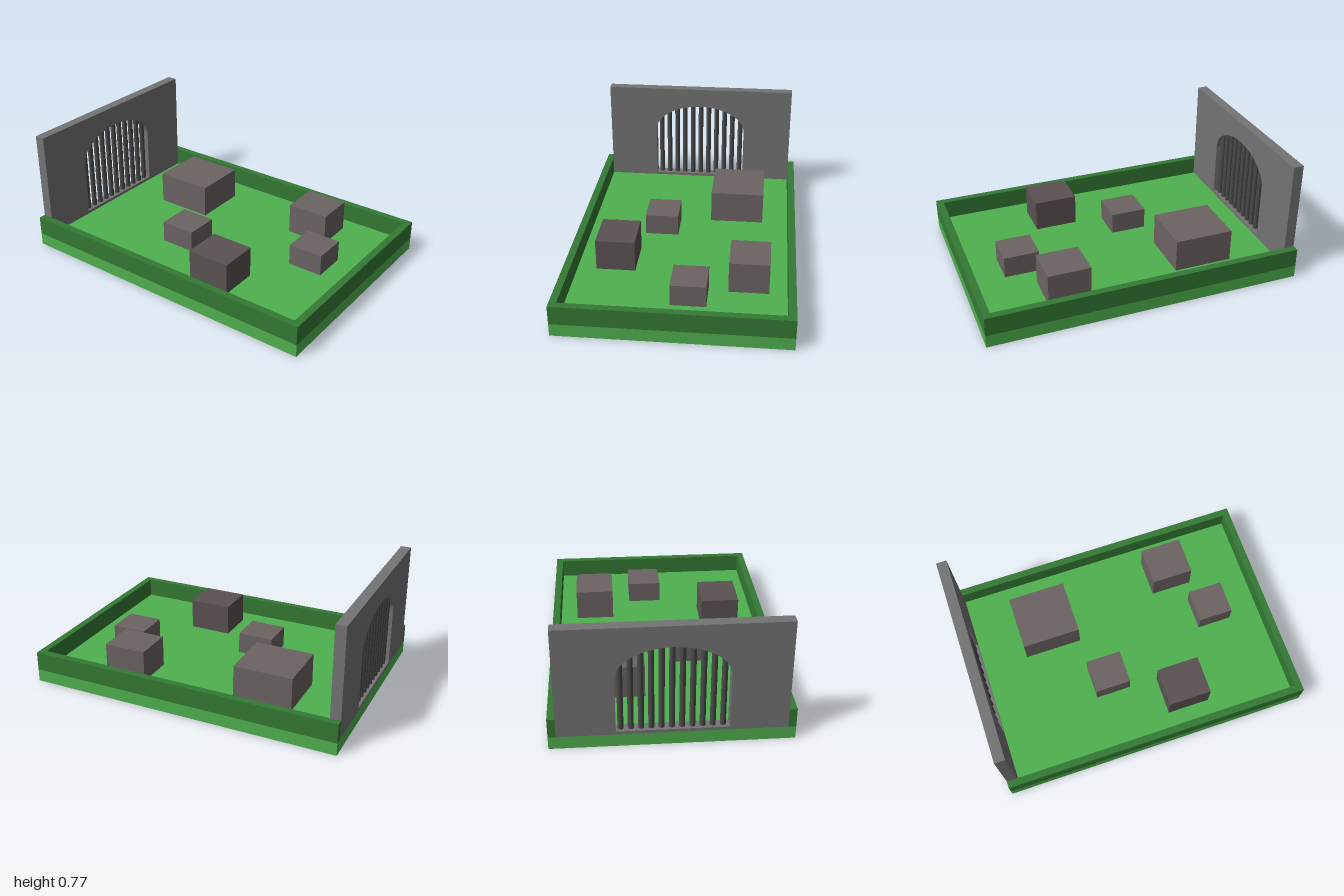
import * as THREE from 'three';

const mat = (color) => new THREE.MeshStandardMaterial({ color });
const lightGreen = mat(0x4fb04f);
const darkGreen = mat(0x347934);
const stone = mat(0x747474);
const iron = mat(0x4a4a4a);
const rock = mat(0x6c6363);
const darkRock = mat(0x5b5252);

export function createModel() {
  const model = new THREE.Group();
  const W = 1, D = 0.7, rim = 0.045;      // half width, half depth, rim thickness
  const floorY = 0.08, rimY = 0.2;

  // Box given by its lower and upper corner
  const addBox = (name, material, [x0, y0, z0], [x1, y1, z1]) => {
    const mesh = new THREE.Mesh(new THREE.BoxGeometry(x1 - x0, y1 - y0, z1 - z0), material);
    mesh.position.set((x0 + x1) / 2, (y0 + y1) / 2, (z0 + z1) / 2);
    mesh.name = name;
    model.add(mesh);
    return mesh;
  };

  // Base: light border, floor, and a dark plate set into the underside
  const rect = (shape, w, d) =>
    shape.moveTo(-w, -d).lineTo(w, -d).lineTo(w, d).lineTo(-w, d).closePath();
  const border = rect(new THREE.Shape(), W, D);
  border.holes.push(rect(new THREE.Path(), W - rim, D - rim));
  const borderMesh = new THREE.Mesh(
    new THREE.ExtrudeGeometry(border, { depth: floorY, bevelEnabled: false }), lightGreen);
  borderMesh.rotation.x = -Math.PI / 2;
  borderMesh.name = 'baseBorder';
  model.add(borderMesh);
  addBox('floor', lightGreen, [rim - W, 0.01, rim - D], [W - rim, floorY, D - rim]);
  addBox('undersidePlate', darkGreen, [rim - W, 0, rim - D], [W - rim, 0.01, D - rim]);

  // Low walls on three sides
  addBox('backWall', darkGreen, [-W, floorY, -D], [W, rimY, rim - D]);
  addBox('frontWall', darkGreen, [-W, floorY, D - rim], [W, rimY, D]);
  addBox('endWall', darkGreen, [W - rim, floorY, rim - D], [W, rimY, D - rim]);

  // Gate wall with an arched opening, drawn in z/y and turned to face +x
  const gateTop = 0.77, gateThick = 0.065, halfGate = D - rim;
  const sill = 0.1, spring = 0.45, archZ = 0.32, archRise = 0.19;
  const gate = new THREE.Shape();
  gate.moveTo(-halfGate, floorY).lineTo(halfGate, floorY)
    .lineTo(halfGate, gateTop).lineTo(-halfGate, gateTop).closePath();
  const arch = new THREE.Path();
  arch.moveTo(-archZ, sill).lineTo(archZ, sill).lineTo(archZ, spring);
  arch.absellipse(0, spring, archZ, archRise, 0, Math.PI, false);
  arch.closePath();
  gate.holes.push(arch);
  const gateMesh = new THREE.Mesh(
    new THREE.ExtrudeGeometry(gate, { depth: gateThick, bevelEnabled: false, curveSegments: 32 }), stone);
  gateMesh.rotation.y = Math.PI / 2;
  gateMesh.position.x = -W;
  gateMesh.name = 'gateWall';
  model.add(gateMesh);

  // Round bars, each reaching up into the arch
  const bars = new THREE.Group();
  bars.name = 'gateBars';
  for (let i = -5; i <= 5; i++) {
    const z = i * 0.0578 - 0.004;
    const top = spring + archRise * Math.sqrt(1 - (z / archZ) ** 2) + 0.015;
    const bar = new THREE.Mesh(new THREE.CylinderGeometry(0.017, 0.017, top - sill, 16), iron);
    bar.position.set(-W + gateThick / 2, (top + sill) / 2, z);
    bar.name = 'bar';
    bars.add(bar);
  }
  model.add(bars);

  // Rock blocks: x0, x1, z0, z1, top, material
  const blocks = [
    [-0.645, -0.27, -0.485, -0.135, 0.29, rock],
    [0.31, 0.58, -0.545, -0.3, 0.28, rock],
    [0.525, 0.75, -0.18, 0.035, 0.217, rock],
    [-0.285, -0.055, 0.07, 0.285, 0.217, rock],
    [0.13, 0.405, 0.29, 0.535, 0.28, darkRock],
  ];
  for (const [x0, x1, z0, z1, top, m] of blocks) {
    addBox('rockBlock', m, [x0, floorY, z0], [x1, top, z1]);
  }
  return model;
}
